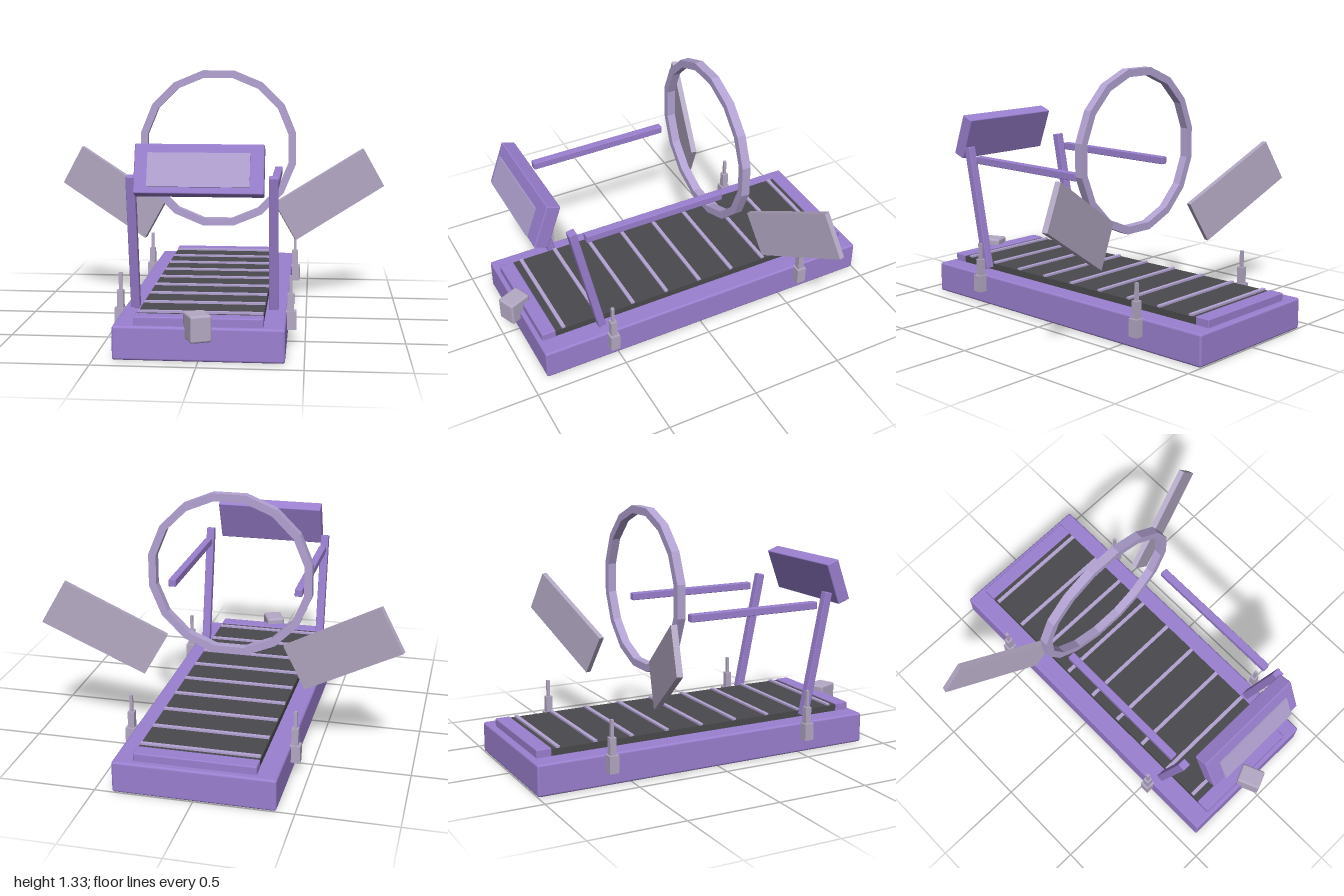
import * as THREE from 'three';
import { RoundedBoxGeometry } from 'three/addons/geometries/RoundedBoxGeometry.js';

export function createModel() {
  const model = new THREE.Group();
  model.name = 'treadmill';

  const material = (name, color) => {
    const m = new THREE.MeshStandardMaterial({ color });
    m.name = name;
    return m;
  };
  const purple = material('purple', 0x9b80d0);
  const lilac = material('lilac', 0xb3a3d3);
  const greyLilac = material('grey lilac', 0xb4a9c4);
  const charcoal = material('charcoal', 0x4a4a4e);

  const add = (name, geometry, mat, x, y, z) => {
    const mesh = new THREE.Mesh(geometry, mat);
    mesh.name = name;
    mesh.position.set(x, y, z);
    model.add(mesh);
    return mesh;
  };
  const box = (name, w, h, d, mat, x, y, z) =>
    add(name, new THREE.BoxGeometry(w, h, d), mat, x, y, z);
  const softBox = (name, w, h, d, r, mat, x, y, z) =>
    add(name, new RoundedBoxGeometry(w, h, d, 2, r), mat, x, y, z);

  // Deck with a bar at each end
  softBox('deck', 0.82, 0.165, 1.91, 0.012, purple, 0, 0.0825, -0.045);
  softBox('frontBar', 0.615, 0.06, 0.078, 0.006, purple, 0, 0.177, 0.847);
  softBox('rearBar', 0.615, 0.06, 0.08, 0.006, purple, 0, 0.177, -0.925);

  // Running belt with raised cross strips
  box('belt', 0.61, 0.04, 1.695, charcoal, 0, 0.18, -0.038);
  for (let i = 0; i < 9; i++) {
    box('beltStrip', 0.605, 0.012, 0.02, lilac, 0, 0.204, -0.85 + i * 0.2015);
  }

  // Tilted console with a screen standing just off its face
  const tilt = -0.35;
  softBox('console', 0.61, 0.24, 0.075, 0.006, purple, 0, 0.895, 0.807).rotation.x = tilt;
  box('screen', 0.48, 0.163, 0.008, lilac, 0, 0.905, 0.866).rotation.x = tilt;

  // Turned sensor block on the front edge
  softBox('sensorBlock', 0.105, 0.13, 0.13, 0.012, greyLilac, 0, 0.175, 0.92).rotation.y = 0.4;

  for (const side of [-1, 1]) {
    // Leaning upright and handrail
    softBox('upright', 0.045, 0.685, 0.042, 0.004, purple, side * 0.344, 0.518, 0.635).rotation.x = 0.2;
    softBox('handrail', 0.04, 0.04, 0.765, 0.004, purple, side * 0.342, 0.79, 0.247);

    // Swept wing panel
    const wing = box('wingPanel', 0.6, 0.25, 0.03, greyLilac, side * 0.622, 0.62, -0.42);
    wing.rotation.set(0, side * Math.PI / 12, side * Math.PI / 6, 'YXZ');

    // Stepped side posts
    for (const z of [0.535, -0.615]) {
      box('postBase', 0.052, 0.092, 0.052, greyLilac, side * 0.43, 0.12, z);
      box('postMiddle', 0.034, 0.09, 0.034, greyLilac, side * 0.427, 0.21, z);
      box('postTip', 0.016, 0.09, 0.016, greyLilac, side * 0.427, 0.3, z);
    }
  }

  // Sixteen-sided hoop with a square section
  const polygon = (radius) => Array.from({ length: 16 }, (_, i) => {
    const a = (i + 0.5) * Math.PI / 8;
    return new THREE.Vector2(radius * Math.cos(a), radius * Math.sin(a));
  });
  const ring = new THREE.Shape(polygon(0.441));
  ring.holes.push(new THREE.Path(polygon(0.4)));
  const hoop = new THREE.ExtrudeGeometry(ring, { depth: 0.046, bevelEnabled: false });
  add('hoop', hoop, lilac, 0, 0.897, -0.254);

  return model;
}
